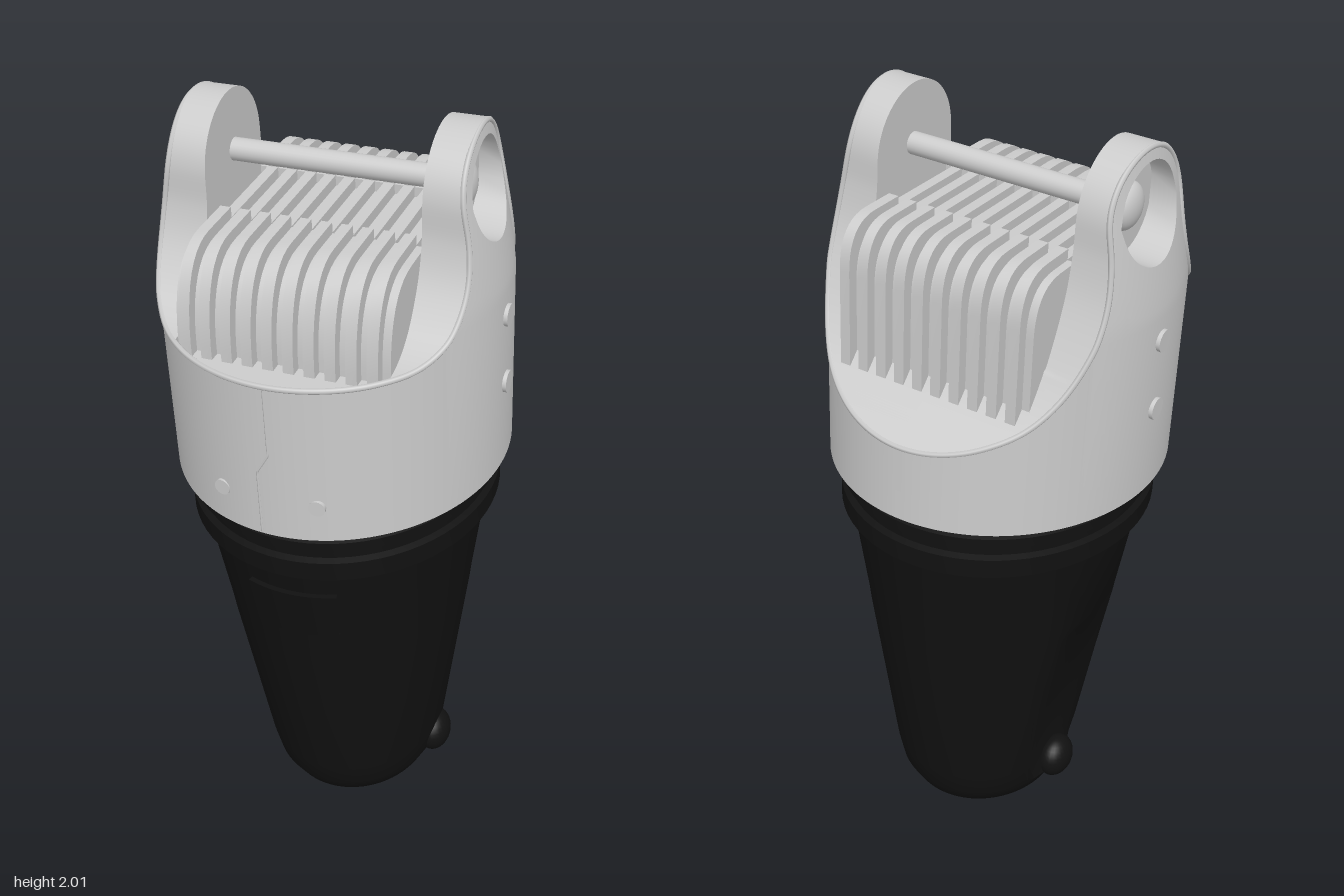
import * as THREE from 'three';
import { toCreasedNormals } from 'three/addons/utils/BufferGeometryUtils.js';

const grey = new THREE.MeshStandardMaterial({ color: 0xcccccc });
const black = new THREE.MeshStandardMaterial({ color: 0x111111, side: THREE.DoubleSide });
const v2 = (a) => a.map(([x, y]) => new THREE.Vector2(x, y));

// Collar dimensions: elliptical plan, two raised ears with round pockets
const RX = 0.41, RZ = 0.45, BOTTOM = 1.135;
const EAR = { y: 1.845, z: -0.02, r: 0.15, pocket: 0.115, inner: 0.257, floor: 0.3 };

function add(group, name, geometry, material, x = 0, y = 0, z = 0) {
  const mesh = new THREE.Mesh(geometry, material);
  mesh.name = name;
  mesh.position.set(x, y, z);
  group.add(mesh);
  return mesh;
}

// Outer half width of the collar, narrowing towards the ear tops
function outerX(z, y) {
  const ellipse = RX * Math.sqrt(Math.max(0, 1 - (z / RZ) ** 2));
  const lean = 0.07 * Math.max(0, (y - 1.6) / 0.4) ** 1.2;
  return Math.max(0, ellipse - lean);
}

// Top edge of the collar seen from the side, from back to front
function rimProfile() {
  const back = [[-0.45, 1.337], [-0.4, 1.375], [-0.34, 1.425], [-0.28, 1.5], [-0.23, 1.59], [-0.19, 1.69], [-0.173, 1.78]];
  const front = [[0.135, 1.78], [0.155, 1.71], [0.19, 1.65], [0.24, 1.595], [0.3, 1.563], [0.37, 1.553], [0.45, 1.55]];
  const arc = [];
  for (let i = 0; i <= 10; i++) {
    const a = Math.PI * (0.95 - 0.09 * i);
    arc.push([EAR.z + EAR.r * Math.cos(a), EAR.y + EAR.r * Math.sin(a)]);
  }
  const curve = new THREE.CatmullRomCurve3([...back, ...arc, ...front].map(([z, y]) => new THREE.Vector3(0, y, z)));
  const out = [];
  const n = 170;
  for (let i = 0; i <= n; i++) {
    const p = curve.getPointAt((1 - Math.cos((Math.PI * i) / n)) / 2);
    out.push([p.z, p.y]);
  }
  return out;
}

// Half cross-section of the collar at one depth, top centre to bottom centre
function collarSection(z, top) {
  const floor = Math.min(top, 1.53);
  const inner = Math.min(EAR.inner, outerX(z, top));
  const dz = z - EAR.z;
  const h = Math.sqrt(Math.max(0, EAR.pocket ** 2 - dz * dz));
  const low = EAR.y - h, high = EAR.y + h;
  const wall = (y) => [outerX(z, Math.min(y, top)), Math.min(y, top)];
  const sunk = (y) => (h > 0 ? [EAR.floor, y] : wall(y));
  const pts = [[0, floor], [inner, floor], [inner, top], wall(top), wall(high), sunk(high), sunk(low), wall(low)];
  for (const t of [0.8, 0.6, 0.4, 0.2, 0]) pts.push(wall(1.6 + (low - 1.6) * t));
  pts.push(wall(BOTTOM), [0, BOTTOM]);
  return pts;
}

function collarGeometry(rim) {
  const positions = [], indices = [];
  let count = 0;
  for (const [z, top] of rim) {
    const half = collarSection(z, top);
    const mirrored = half.slice(1, -1).reverse().map(([x, y]) => [-x, y]);
    const ring = [...half, ...mirrored];
    count = ring.length;
    for (const [x, y] of ring) positions.push(x, y, z);
  }
  for (let i = 0; i < rim.length - 1; i++) {
    for (let j = 0; j < count; j++) {
      const k = (j + 1) % count;
      const a = i * count + j, b = i * count + k, c = b + count, d = a + count;
      indices.push(a, c, b, a, d, c);
    }
  }
  const g = new THREE.BufferGeometry();
  g.setAttribute('position', new THREE.Float32BufferAttribute(positions, 3));
  g.setIndex(indices);
  return toCreasedNormals(g, 0.6);
}

// Rounded comb plate: side outline (z, y) extruded across x
function combPlate(width, inset) {
  const top = 1.775 - inset, f = 0.365 - inset, b = -0.345 + inset, dip = 0.025;
  const s = new THREE.Shape();
  s.moveTo(f, 1.4);
  s.lineTo(f, 1.56);
  s.quadraticCurveTo(f - 0.01, top, f - 0.14, top);
  s.lineTo(0.11, top);
  s.lineTo(0.11, top - dip);
  s.lineTo(-0.155, top - dip);
  s.lineTo(-0.155, top);
  s.lineTo(b + 0.1, top);
  s.quadraticCurveTo(b, top, b, top - 0.12);
  s.lineTo(b, 1.38);
  const g = new THREE.ExtrudeGeometry(s, { depth: width, bevelEnabled: false, curveSegments: 10 });
  g.translate(0, 0, -width / 2);
  g.rotateY(-Math.PI / 2);
  return toCreasedNormals(g, 0.5);
}

function addBody(group) {
  // Tapered handle with a rounded base and a flattened side
  const profile = [[0, 0], [0.06, 0.002], [0.12, 0.014], [0.18, 0.04], [0.228, 0.08], [0.258, 0.13], [0.275, 0.2],
    [0.317, 0.45], [0.354, 0.67], [0.361, 0.72], [0.405, 0.98]];
  const g = new THREE.LatheGeometry(v2(profile), 72);
  g.scale(0.87, 1, 1);
  const p = g.attributes.position;
  for (let i = 0; i < p.count; i++) {
    const y = p.getY(i);
    if (y > 0.15 && y < 0.7) p.setX(i, Math.max(p.getX(i), -(0.206 + (y - 0.2) * 0.16)));
  }
  add(group, 'handle', toCreasedNormals(g, 0.5), black);

  // Ringed flange under the collar
  const flange = [[0.37, 0.975], [0.405, 0.98], [0.425, 0.995], [0.425, 1.045], [0.408, 1.05], [0.408, 1.075],
    [0.425, 1.08], [0.425, 1.105], [0.41, 1.11], [0.41, 1.16], [0, 1.16]];
  const fg = new THREE.LatheGeometry(v2(flange), 72);
  fg.scale(0.9, 1, 1);
  add(group, 'flange', toCreasedNormals(fg, 0.5), black);

  // Raised front plate following the handle
  const plate = [[0.36, 0.78], [0.383, 0.78], [0.409, 0.925], [0.38, 0.925]];
  const pg = new THREE.LatheGeometry(v2(plate), 12, -0.31, 0.65);
  pg.scale(0.87, 1, 1);
  add(group, 'frontPlate', toCreasedNormals(pg, 0.5), black);

  // Side studs near the base
  for (const s of [-1, 1]) {
    const stud = add(group, 'baseStud', new THREE.SphereGeometry(0.06, 24, 16), black, s * 0.225, 0.16, 0);
    stud.scale.set(0.75, 1, 1);
  }
}

function addCollar(group) {
  const rim = rimProfile();
  add(group, 'collar', collarGeometry(rim), grey);

  // Thin bead along the top edge
  const edge = rim.filter((_, i) => i % 2 === 0).map(([z, y]) => new THREE.Vector3(outerX(z, y), y - 0.006, z));
  const other = edge.slice(1, -1).reverse().map((p) => new THREE.Vector3(-p.x, p.y, p.z));
  const path = new THREE.CatmullRomCurve3([...edge, ...other], true);
  add(group, 'rimBead', new THREE.TubeGeometry(path, 320, 0.007, 6, true), grey);

  // Pocket domes and side bolts
  const boltGeometry = new THREE.CylinderGeometry(0.027, 0.027, 0.03, 20);
  for (const s of [-1, 1]) {
    const dome = add(group, 'pivotDome', new THREE.SphereGeometry(0.056, 24, 16), grey, s * EAR.floor, EAR.y, EAR.z);
    dome.scale.x = 0.55;
    for (const y of [1.36, 1.54]) {
      add(group, 'sideBolt', boltGeometry, grey, s * 0.404, y, -0.005).rotation.z = Math.PI / 2;
    }
  }

  // Front bolts and the stepped seam between them
  const frontBolt = new THREE.CylinderGeometry(0.02, 0.02, 0.03, 20);
  for (const x of [-0.13, 0.105]) {
    const z = RZ * Math.sqrt(1 - (x / RX) ** 2) - 0.009;
    const bolt = add(group, 'frontBolt', frontBolt, grey, x, 1.23, z);
    bolt.rotation.set(Math.PI / 2, 0, -Math.atan(x));
  }
  const seam = new THREE.CurvePath();
  const corners = [[0, 1.545], [0, 1.36], [-0.03, 1.31], [-0.03, 1.14]].map(([x, y]) => new THREE.Vector3(x, y, 0.4485));
  for (let i = 0; i < 3; i++) seam.add(new THREE.LineCurve3(corners[i], corners[i + 1]));
  add(group, 'frontSeam', new THREE.TubeGeometry(seam, 40, 0.003, 6), grey);
}

function addComb(group) {
  add(group, 'combCore', combPlate(0.51, 0.027), grey);
  const fin = combPlate(0.026, 0);
  for (let i = 0; i < 10; i++) add(group, 'combFin', fin, grey, (i - 4.5) * 0.0495);
  // Cross bar between the ears
  const bar = add(group, 'crossBar', new THREE.CylinderGeometry(0.027, 0.027, 0.53, 24), grey, 0, 1.85, -0.028);
  bar.rotation.z = Math.PI / 2;
}

export function createModel() {
  const model = new THREE.Group();
  model.name = 'clipper';
  const tilted = new THREE.Group();
  tilted.name = 'tiltedAssembly';
  addBody(tilted);
  addCollar(tilted);
  addComb(tilted);
  // The whole piece leans slightly
  tilted.rotation.set(0.03, 0, 0.033);
  tilted.position.set(0.047, 0, -0.045);
  model.add(tilted);
  return model;
}
